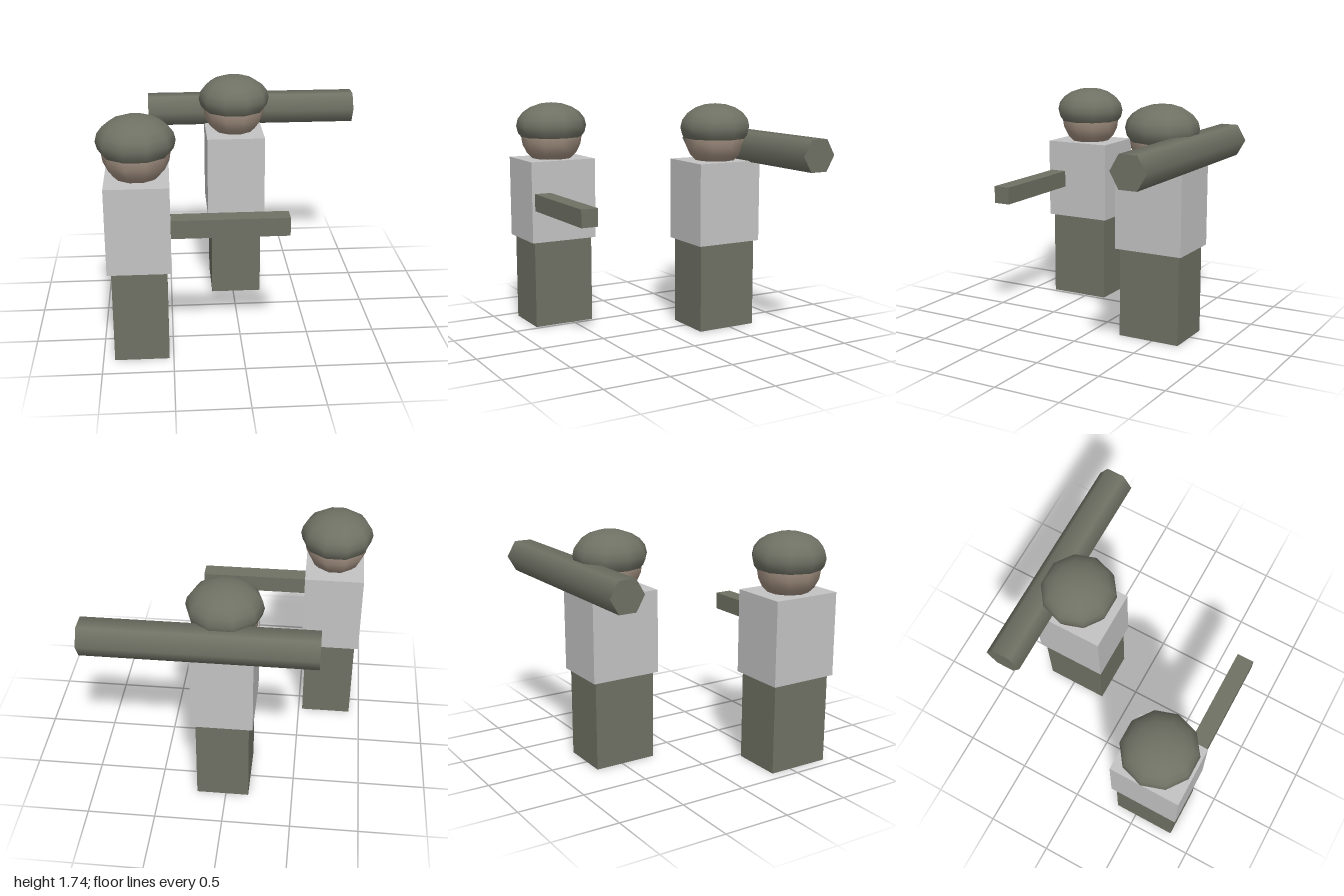
import * as THREE from 'three';

export function createModel() {
  const model = new THREE.Group();

  const mat = (name, color) => {
    const m = new THREE.MeshStandardMaterial({ color });
    m.name = name;
    return m;
  };
  const olive = mat('olive', 0x6f7164);
  const grey = mat('lightGrey', 0xc3c3c3);
  const skin = mat('skin', 0xa18f80);

  function add(parent, name, geometry, material, x, y, z) {
    const mesh = new THREE.Mesh(geometry, material);
    mesh.name = name;
    mesh.position.set(x, y, z);
    parent.add(mesh);
    return mesh;
  }

  // One blocky soldier, standing on y = 0
  function soldier(name, x, z) {
    const g = new THREE.Group();
    g.name = name;
    g.position.set(x, 0, z);
    add(g, 'legs', new THREE.BoxGeometry(0.388, 0.68, 0.482), olive, 0, 0.34, 0);
    add(g, 'torso', new THREE.BoxGeometry(0.446, 0.628, 0.535), grey, 0, 0.991, 0);
    add(g, 'head', new THREE.SphereGeometry(0.24, 10, 10), skin, 0, 1.487, 0);
    // Flattened ball that swallows the top of the head
    const helmet = new THREE.SphereGeometry(0.275, 10, 10).scale(1, 0.655, 1);
    add(g, 'helmet', helmet, olive, 0, 1.56, 0);
    model.add(g);
    return g;
  }

  const gunner = soldier('gunner', -0.724, 0.576);
  const carrier = soldier('tubeCarrier', 0.024, -0.471);

  // Square gun held out to the side
  add(gunner, 'gun', new THREE.BoxGeometry(0.822, 0.132, 0.13), olive, 0.635, 0.994, 0.179);

  // Six-sided launcher tube on the shoulder
  const tube = new THREE.CylinderGeometry(0.134, 0.134, 1.648, 6).rotateZ(Math.PI / 2);
  add(carrier, 'launcherTube', tube, olive, 0.152, 1.413, -0.244);

  return model;
}
